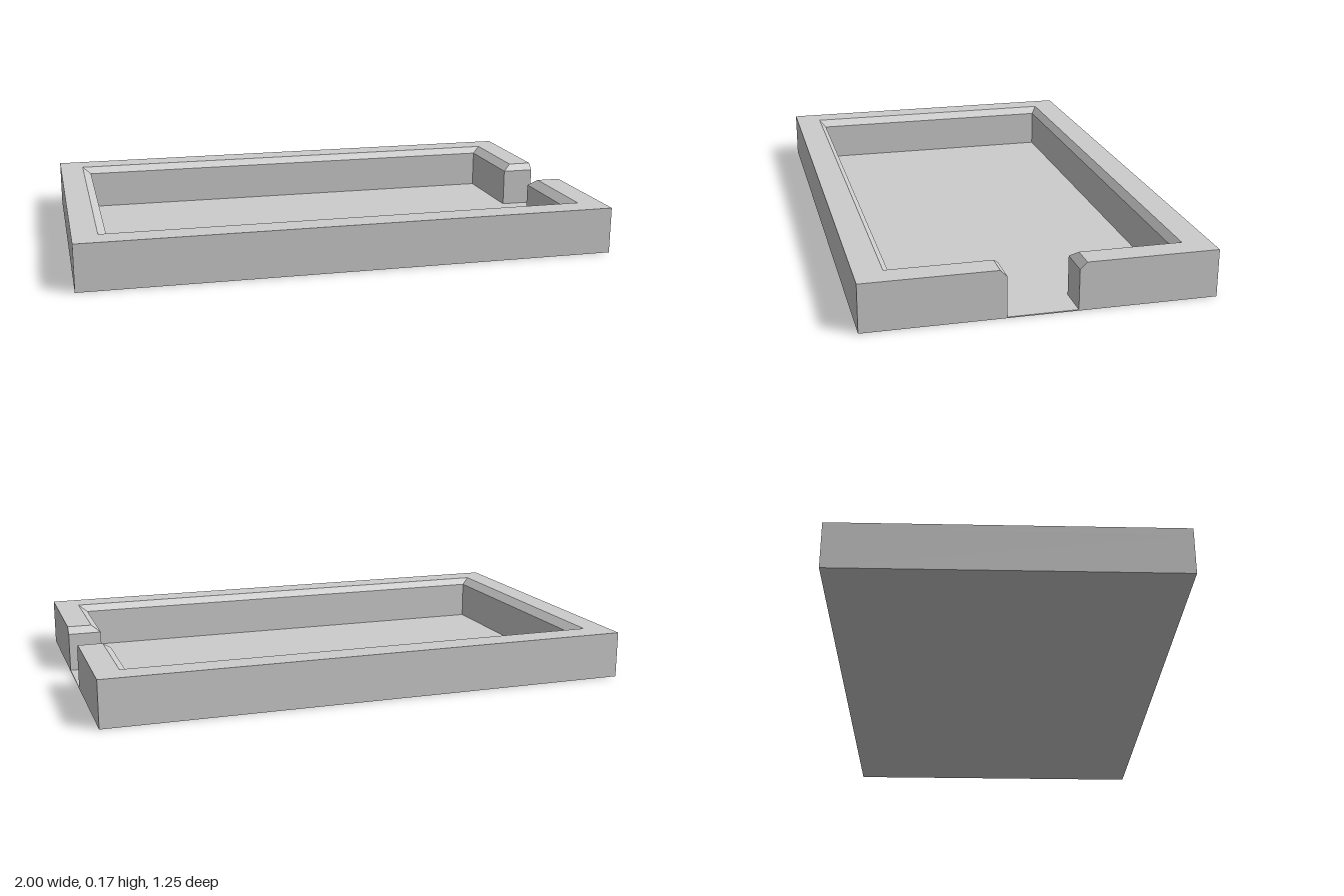
import * as THREE from 'three';

const HALF_DEPTH = 0.625;
const FLOOR = 0.004;

// Wall footprint (x, z), counter-clockwise from above, open on the +x side
function footprint(innerX, innerZ, gap) {
  return [
    [1, -gap], [1, -HALF_DEPTH], [-1, -HALF_DEPTH], [-1, HALF_DEPTH], [1, HALF_DEPTH], [1, gap],
    [innerX, gap], [innerX, innerZ], [-innerX, innerZ], [-innerX, -innerZ], [innerX, -innerZ], [innerX, -gap],
  ];
}

// Join stacked sections into flat-faced sides and close the top
function wallGeometry(sections) {
  const positions = [];
  const point = (section, i) => {
    const [x, z] = section.outline[i % section.outline.length];
    return [x, section.y, z];
  };
  for (let s = 0; s < sections.length - 1; s++) {
    const low = sections[s], high = sections[s + 1];
    for (let i = 0; i < low.outline.length; i++) {
      const a = point(low, i), b = point(low, i + 1);
      const c = point(high, i + 1), d = point(high, i);
      positions.push(...a, ...b, ...c, ...a, ...c, ...d);
    }
  }
  const top = sections[sections.length - 1];
  const flat = top.outline.map(([x, z]) => new THREE.Vector2(x, -z));
  for (const face of THREE.ShapeUtils.triangulateShape(flat, [])) {
    for (const i of face) positions.push(...point(top, i));
  }
  const geometry = new THREE.BufferGeometry();
  geometry.setAttribute('position', new THREE.Float32BufferAttribute(positions, 3));
  geometry.computeVertexNormals();
  return geometry;
}

export function createModel() {
  const model = new THREE.Group();
  model.name = 'walledTray';
  const grey = new THREE.MeshStandardMaterial({ color: 0xcccccc });
  grey.name = 'lightGrey';

  // Thin base plate
  const floor = new THREE.Mesh(new THREE.BoxGeometry(2, FLOOR, 2 * HALF_DEPTH), grey);
  floor.name = 'floor';
  floor.position.y = FLOOR / 2;

  // Surrounding wall with a doorway and a chamfered inner rim
  const lower = footprint(0.875, 0.5, 0.125);
  const rim = footprint(0.908, 0.524, 0.15);
  const wall = new THREE.Mesh(wallGeometry([
    { y: FLOOR, outline: lower },
    { y: 0.15, outline: lower },
    { y: 0.175, outline: rim },
  ]), grey);
  wall.name = 'wall';

  model.add(floor, wall);
  return model;
}
